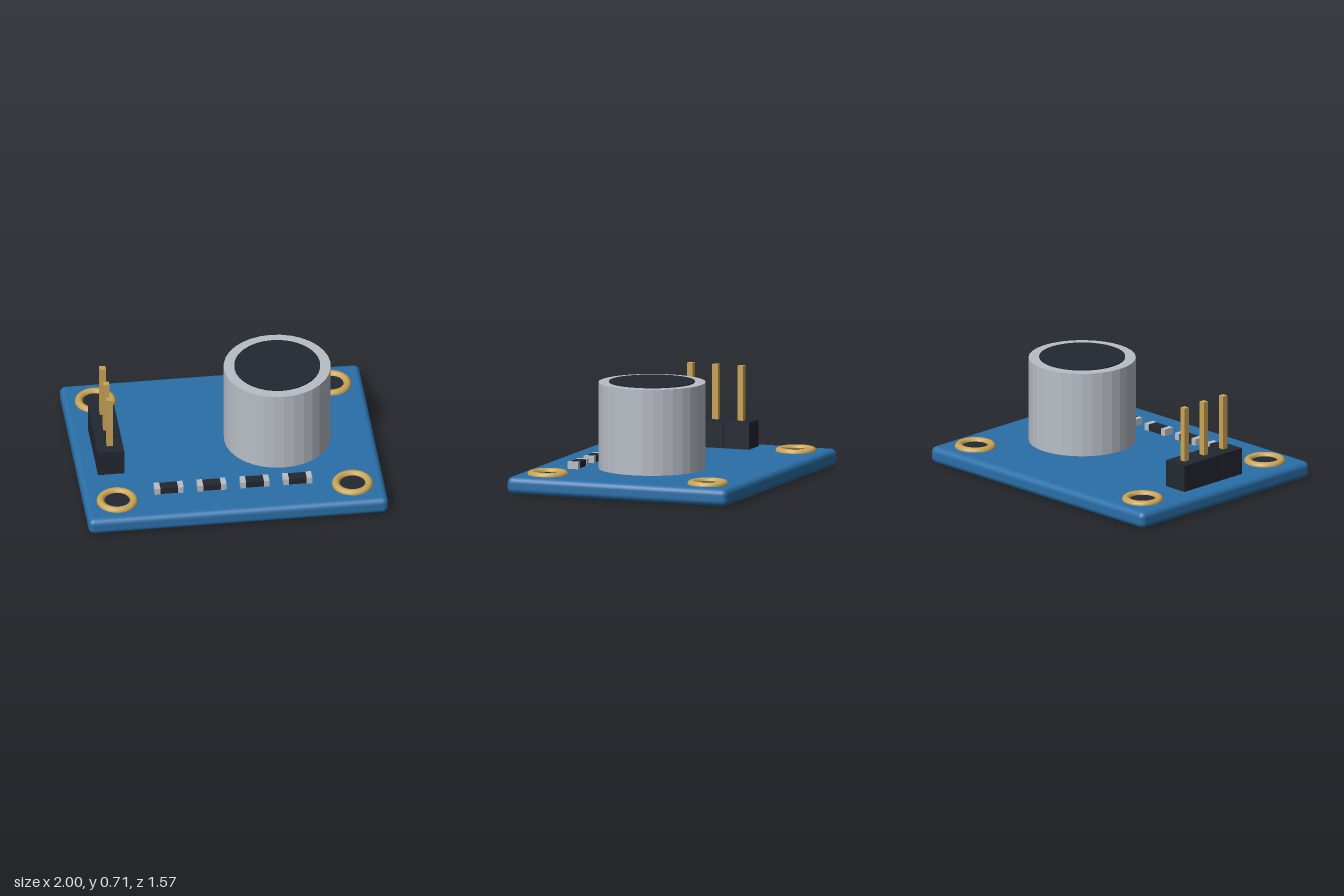
import * as THREE from 'three';
import { RoundedBoxGeometry } from 'three/addons/geometries/RoundedBoxGeometry.js';

const mat = (color, flatShading = false) => new THREE.MeshStandardMaterial({ color, flatShading });

export function createModel() {
  const model = new THREE.Group();
  const blue = mat(0x2a6fa8);
  const gold = mat(0xc9a455);
  const dark = mat(0x232730);
  const silver = mat(0xb9bec6);
  const can = mat(0xb9bec6, true);

  const add = (parent, name, geometry, material, x, y, z) => {
    const mesh = new THREE.Mesh(geometry, material);
    mesh.name = name;
    mesh.position.set(x, y, z);
    parent.add(mesh);
    return mesh;
  };
  const group = (name) => {
    const g = new THREE.Group();
    g.name = name;
    model.add(g);
    return g;
  };

  // Circuit board with softened edges
  const top = 0.115;
  add(model, 'board', new RoundedBoxGeometry(2, top, 1.57, 3, 0.04), blue, 0, top / 2, 0);

  // Mounting holes: gold ring around a dark disc in each corner
  const ring = new THREE.TorusGeometry(0.11, 0.027, 12, 32).rotateX(Math.PI / 2);
  const hole = new THREE.CylinderGeometry(0.095, 0.095, 0.02, 32);
  for (const x of [-0.785, 0.785]) {
    for (const z of [-0.57, 0.57]) {
      const mount = group('mountingHole');
      add(mount, 'holeRing', ring, gold, x, top, z);
      add(mount, 'holeDisc', hole, dark, x, 0.109, z);
    }
  }

  // Microphone can, raised slightly off the board, with its dark membrane
  const microphone = group('microphone');
  add(microphone, 'microphoneCan', new THREE.CylinderGeometry(0.355, 0.355, 0.575, 32), can, 0.355, 0.4175, 0);
  add(microphone, 'microphoneMembrane', new THREE.CylinderGeometry(0.285, 0.285, 0.02, 32), dark, 0.355, 0.702, 0);

  // Three-pin header
  const header = group('pinHeader');
  const block = new THREE.BoxGeometry(0.175, 0.18, 0.176);
  const pin = new THREE.BoxGeometry(0.04, 0.5, 0.04);
  for (const z of [-0.18, 0, 0.18]) {
    add(header, 'headerBlock', block, dark, -0.787, 0.207, z);
    add(header, 'headerPin', pin, gold, -0.787, 0.415, z);
  }

  // Row of small surface-mount resistors with silver end caps
  const body = new THREE.BoxGeometry(0.12, 0.044, 0.068);
  const cap = new THREE.BoxGeometry(0.037, 0.046, 0.075);
  for (let i = 0; i < 4; i++) {
    const x = -0.433 + i * 0.286;
    const resistor = group('resistor');
    add(resistor, 'resistorBody', body, dark, x, 0.14, 0.5);
    for (const side of [-1, 1]) add(resistor, 'resistorCap', cap, silver, x + side * 0.0775, 0.14, 0.5);
  }

  return model;
}
